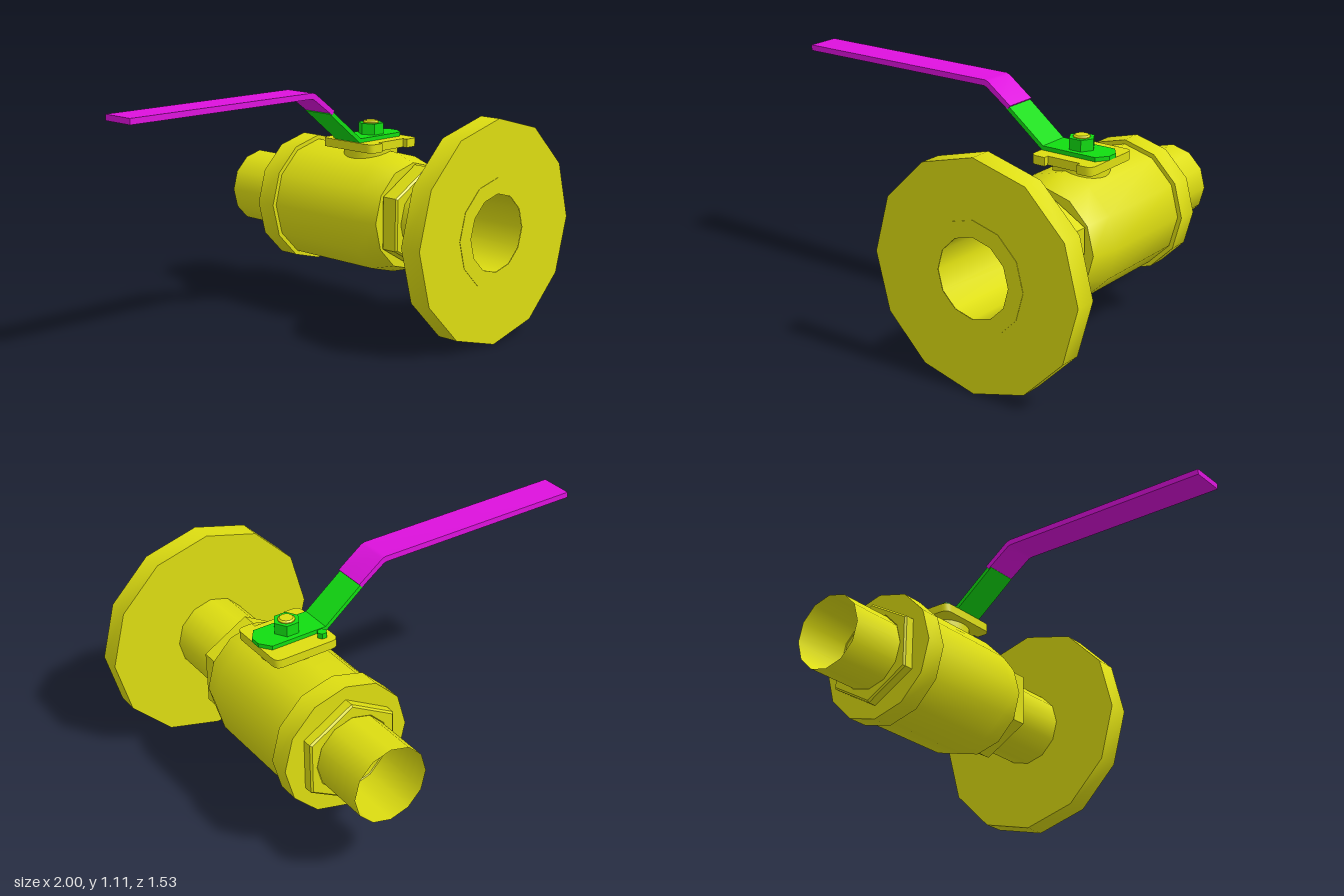
import * as THREE from 'three';
import { toCreasedNormals } from 'three/addons/utils/BufferGeometryUtils.js';

const AX = 0.49, AY = 0.51; // pipe axis, running along z
const mat = (color) => new THREE.MeshStandardMaterial({ color, side: THREE.DoubleSide });
const yellow = mat(0xdddd11), green = mat(0x11dd11), magenta = mat(0xdd11dd);

const shapeOf = (pts) => new THREE.Shape(pts.map(([x, y]) => new THREE.Vector2(x, y)));

// polygon in (x, y) extruded symmetrically along z
function strip(pts, width) {
  return new THREE.ExtrudeGeometry(shapeOf(pts), { depth: width, bevelEnabled: false }).translate(0, 0, -width / 2);
}

// shape in (x, -z) raised from y0 to y1
function slab(shape, y0, y1) {
  return new THREE.ExtrudeGeometry(shape, { depth: y1 - y0, bevelEnabled: false, curveSegments: 4 })
    .rotateX(-Math.PI / 2).translate(0, y0, 0);
}

export function createModel() {
  const group = new THREE.Group();
  const add = (name, geometry, material) => {
    const mesh = new THREE.Mesh(toCreasedNormals(geometry, 0.6), material);
    mesh.name = name;
    group.add(mesh);
  };
  // twelve-sided turned part; profile is [radius, z] with z rising
  const turned = (name, profile) => add(name,
    new THREE.LatheGeometry(profile.map(([r, z]) => new THREE.Vector2(r, z)), 12)
      .rotateX(Math.PI / 2).translate(AX, AY, 0), yellow);

  // pipe, flange and body
  turned('pipe', [[0.177, -0.765], [0.177, 0.764]]);
  turned('flange', [[0.177, 0.66], [0.51, 0.66], [0.51, 0.763], [0.25, 0.763], [0.25, 0.765], [0.177, 0.765]]);
  turned('body', [[0.177, -0.36], [0.285, -0.36], [0.285, 0.15], [0.25, 0.27], [0.177, 0.27]]);
  turned('collar', [[0.177, -0.445], [0.305, -0.445], [0.305, -0.345], [0.177, -0.345]]);

  // chamfered hexagons with a corner upwards, one at each end of the body
  const bevel = 0.008;
  for (const [name, z0, z1] of [['frontHexagon', 0.27, 0.36], ['backHexagon', -0.495, -0.43]]) {
    const hexagon = shapeOf(Array.from({ length: 6 }, (_, i) => {
      const a = Math.PI / 2 + i * Math.PI / 3;
      return [0.242 * Math.cos(a), 0.242 * Math.sin(a)];
    }));
    const hole = new THREE.Path();
    hole.setFromPoints(Array.from({ length: 12 }, (_, i) =>
      new THREE.Vector2(0.173 * Math.cos(i * Math.PI / 6), 0.173 * Math.sin(i * Math.PI / 6))));
    hexagon.holes.push(hole);
    add(name, new THREE.ExtrudeGeometry(hexagon, {
      depth: z1 - z0 - 2 * bevel, bevelThickness: bevel, bevelSize: bevel, bevelOffset: -bevel, bevelSegments: 1,
    }).translate(AX, AY, z0 + bevel), yellow);
  }

  // neck and notched mounting plate
  add('neck', new THREE.CylinderGeometry(0.125, 0.125, 0.11, 24, 1).translate(AX, 0.755, 0), yellow);
  const x0 = 0.33, x1 = 0.645, y0 = -0.155, y1 = 0.162, r = 0.035;
  const plate = new THREE.Shape();
  plate.moveTo(x0 + r, y0);
  plate.lineTo(0.405, y0);
  plate.lineTo(0.405, y0 + 0.025);
  plate.lineTo(0.57, y0 + 0.025);
  plate.lineTo(0.57, y0);
  plate.lineTo(x1 - r, y0);
  plate.quadraticCurveTo(x1, y0, x1, y0 + r);
  plate.lineTo(x1, y1 - r);
  plate.quadraticCurveTo(x1, y1, x1 - r, y1);
  plate.lineTo(x0 + r, y1);
  plate.quadraticCurveTo(x0, y1, x0, y1 - r);
  plate.lineTo(x0, y0 + r);
  plate.quadraticCurveTo(x0, y0, x0 + r, y0);
  add('mountingPlate', slab(plate, 0.805, 0.845), yellow);

  // lever: flat foot with clipped end, rising arm, long grip
  add('leverFoot', slab(shapeOf([[0.335, -0.077], [0.61, -0.077], [0.648, -0.025],
    [0.648, 0.025], [0.61, 0.077], [0.335, 0.077]]), 0.846, 0.865), green);
  add('leverArm', strip([[0.335, 0.846], [0.342, 0.865], [0.15, 1.015], [0.138, 1.0]], 0.154), green);
  add('leverGrip', strip([[0.152, 0.995], [0.166, 1.013], [0.045, 1.102], [0.028, 1.107],
    [-1, 1.107], [-1, 1.08], [0.022, 1.08], [0.036, 1.076]], 0.158), magenta);

  // stem, its nut and the stop pin
  add('stem', new THREE.CylinderGeometry(0.038, 0.038, 0.12, 12).translate(AX, 0.86, 0), yellow);
  add('stemTip', new THREE.CylinderGeometry(0.03, 0.038, 0.007, 12).translate(AX, 0.923, 0), yellow);
  add('stemNut', new THREE.CylinderGeometry(0.06, 0.06, 0.053, 6).rotateY(Math.PI / 6).translate(AX, 0.89, 0), green);
  add('stopPin', new THREE.CylinderGeometry(0.023, 0.023, 0.03, 6).rotateY(Math.PI / 6).translate(0.38, 0.855, -0.107), green);

  return group;
}
